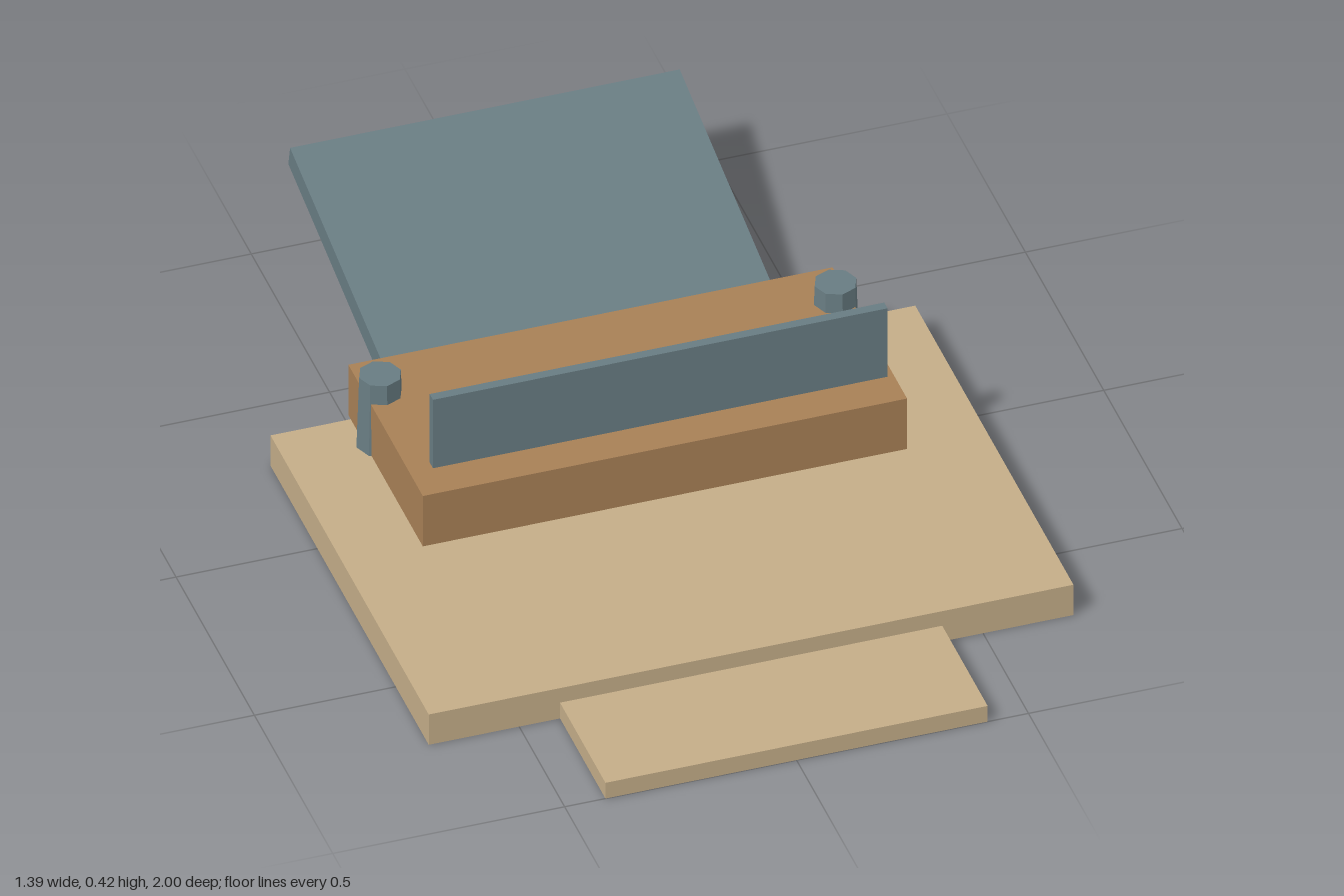
import * as THREE from 'three';

const material = (color) => new THREE.MeshStandardMaterial({ color, flatShading: true });

export function createModel() {
  const group = new THREE.Group();
  const sand = material(0xc4ad88);
  const wood = material(0xa88056);
  const steel = material(0x687c82);

  // Box given by its limits on each axis
  const addBox = (name, mat, [x0, x1], [y0, y1], [z0, z1]) => {
    const mesh = new THREE.Mesh(new THREE.BoxGeometry(x1 - x0, y1 - y0, z1 - z0), mat);
    mesh.position.set((x0 + x1) / 2, (y0 + y1) / 2, (z0 + z1) / 2);
    mesh.name = name;
    group.add(mesh);
    return mesh;
  };

  // Stepped base
  addBox('base', sand, [-0.695, 0.695], [0, 0.077], [-0.3, 0.71]);
  addBox('frontStep', sand, [-0.412, 0.412], [0, 0.04], [0.71, 1]);

  // Raised block with the upright panel hovering over its front edge
  addBox('block', wood, [-0.522, 0.522], [0.077, 0.205], [-0.315, 0.16]);
  addBox('frontPanel', steel, [-0.49, 0.49], [0.247, 0.421], [0.109, 0.13]);

  // Hinge strip on the back of the block and the sloping ramp
  addBox('hingeStrip', steel, [-0.428, 0.428], [0.08, 0.163], [-0.32, -0.3]);
  const ramp = new THREE.Mesh(new THREE.BoxGeometry(0.84, 0.05, 0.718), steel);
  ramp.name = 'ramp';
  ramp.position.set(0, 0.155, -0.6445);
  ramp.rotation.x = 0.222;
  group.add(ramp);

  // Tapered eight-sided posts
  for (const side of [-1, 1]) {
    const post = new THREE.Mesh(new THREE.CylinderGeometry(0.045, 0.051, 0.175, 8), steel);
    post.name = side > 0 ? 'leftPost' : 'rightPost';
    post.position.set(side * 0.491, 0.1645, -0.205);
    group.add(post);
  }
  return group;
}
